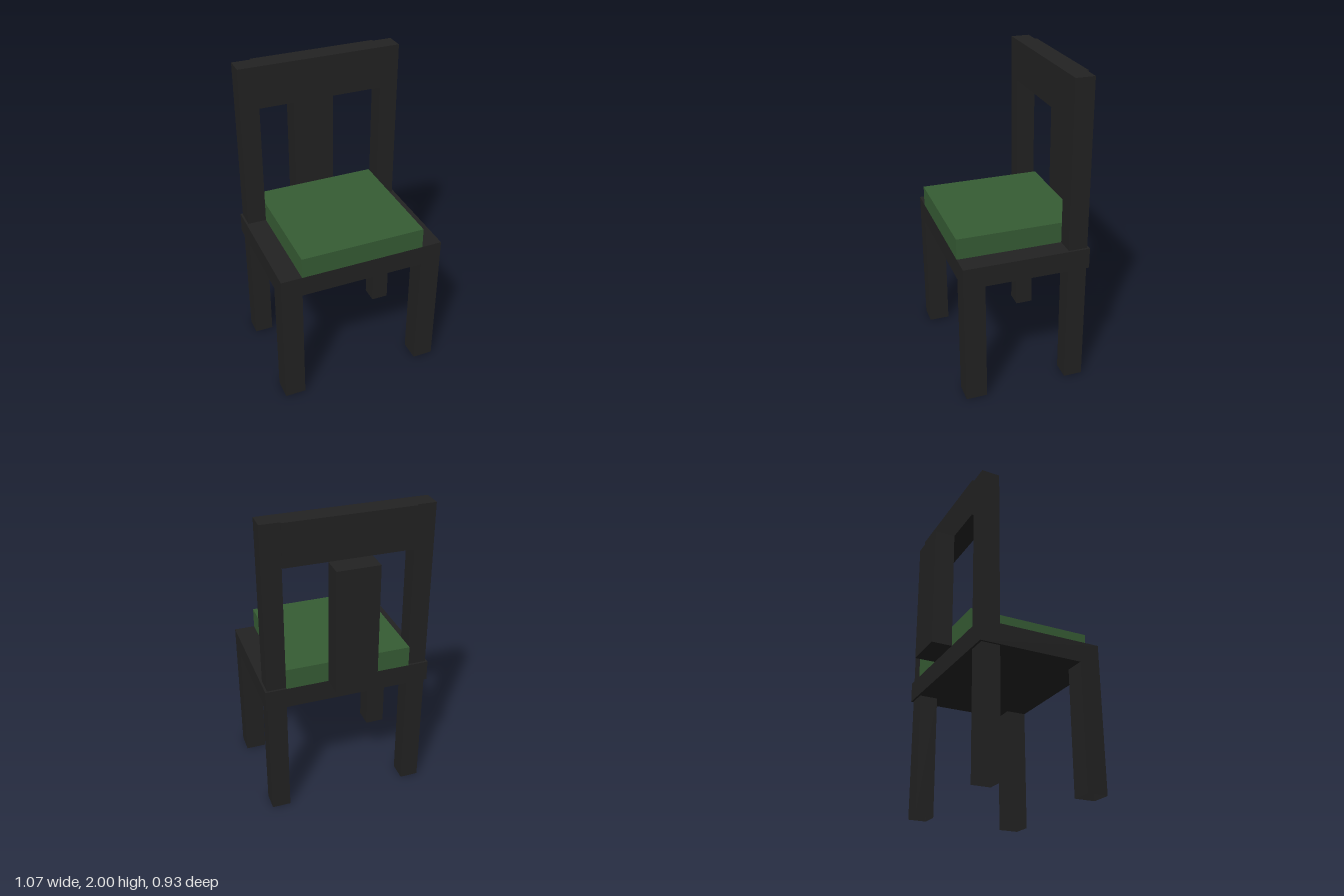
import * as THREE from 'three';

export function createModel() {
  const chair = new THREE.Group();
  chair.name = 'chair';

  const darkWood = new THREE.MeshStandardMaterial({ color: 0x222222, side: THREE.DoubleSide });
  darkWood.name = 'darkWood';
  const greenFabric = new THREE.MeshStandardMaterial({ color: 0x365c34 });
  greenFabric.name = 'greenFabric';

  // Box given by its extents on each axis
  function block(name, material, [x0, x1], [y0, y1], [z0, z1], openBottom = false) {
    const geometry = new THREE.BoxGeometry(x1 - x0, y1 - y0, z1 - z0);
    if (openBottom) {
      // Leave out the -y face
      const index = Array.from(geometry.index.array);
      index.splice(18, 6);
      geometry.setIndex(index);
      geometry.clearGroups();
    }
    const mesh = new THREE.Mesh(geometry, material);
    mesh.name = name;
    mesh.position.set((x0 + x1) / 2, (y0 + y1) / 2, (z0 + z1) / 2);
    chair.add(mesh);
  }

  // Seat and cushion
  block('seat', darkWood, [-0.533, 0.533], [0.8, 0.933], [-0.333, 0.467]);
  block('cushion', greenFabric, [-0.4, 0.4], [0.933, 1.067], [-0.333, 0.467]);

  // Legs: the rear ones run on below the back posts, hollow at the foot
  for (const side of [1, -1]) {
    const prefix = side > 0 ? 'left' : 'right';
    const span = (a, b) => (side > 0 ? [a, b] : [-b, -a]);
    block(prefix + 'FrontLeg', darkWood, span(0.4, 0.533), [0, 0.8], [0.333, 0.467], true);
    block(prefix + 'BackLeg', darkWood, span(0.4, 0.52), [0, 0.8], [-0.32, -0.2], true);
    block(prefix + 'BackPost', darkWood, span(0.4, 0.52), [0.933, 2], [-0.32, -0.2]);
  }

  // Backrest
  block('topRail', darkWood, [-0.4, 0.4], [1.733, 2], [-0.333, -0.2]);
  block('backSplat', darkWood, [-0.133, 0.133], [0.933, 1.733], [-0.467, -0.333]);

  return chair;
}
